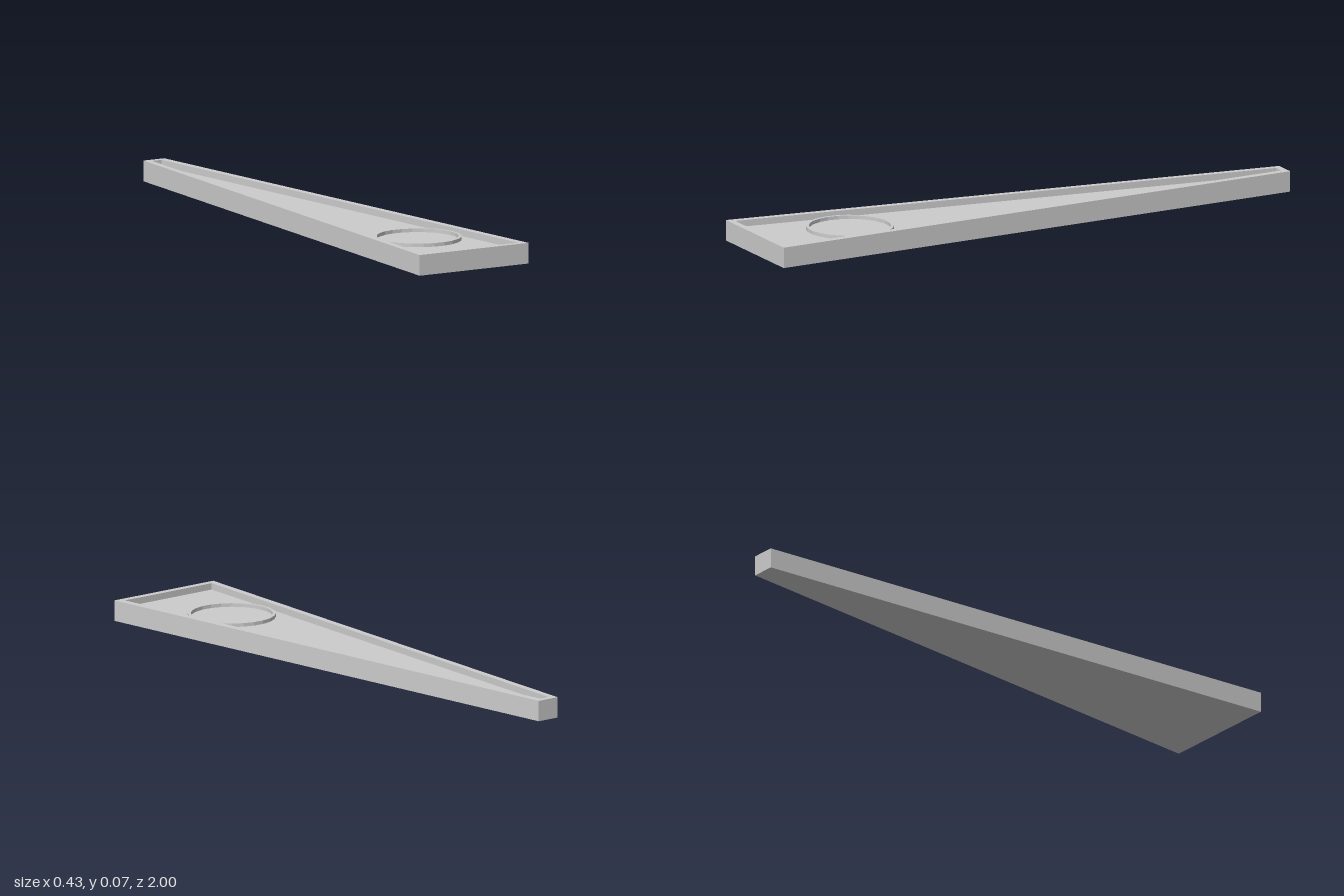
import * as THREE from 'three';

const HEIGHT = 0.07, FLOOR = 0.048, COLLAR_TOP = 0.06;

// corner points as [x, z], counter-clockwise seen from above
const OUTER = [[-0.2137, 0.96], [0.2137, 1], [0.2137, -0.992], [0.132, -1]];
const INNER = [[-0.186, 0.94], [0.188, 0.975], [0.188, -0.973], [0.151, -0.977]];

const toPoints = (corners) => corners.map(([x, z]) => new THREE.Vector2(x, -z));

export function createModel() {
  const group = new THREE.Group();
  const material = new THREE.MeshStandardMaterial({ color: 0xcccccc, flatShading: true });

  // extrude a plan shape upwards from y0 to y1
  function addSlab(name, shape, y0, y1, curveSegments = 1) {
    const geometry = new THREE.ExtrudeGeometry(shape, { depth: y1 - y0, bevelEnabled: false, curveSegments });
    geometry.rotateX(-Math.PI / 2);
    geometry.translate(0, y0, 0);
    const mesh = new THREE.Mesh(geometry, material);
    mesh.name = name;
    group.add(mesh);
    return mesh;
  }

  // tapered base plate
  addSlab('basePlate', new THREE.Shape(toPoints(OUTER)), 0, FLOOR);

  // raised border around the recessed floor
  const rim = new THREE.Shape(toPoints(OUTER));
  rim.holes.push(new THREE.Path(toPoints(INNER)));
  addSlab('rim', rim, FLOOR, HEIGHT);

  // thin round collar standing on the floor
  const collar = new THREE.Shape().absarc(0, 0, 0.147, 0, Math.PI * 2);
  collar.holes.push(new THREE.Path().absarc(0, 0, 0.137, 0, Math.PI * 2));
  addSlab('collar', collar, FLOOR, COLLAR_TOP, 12).position.set(0.034, 0, 0.627);

  return group;
}
